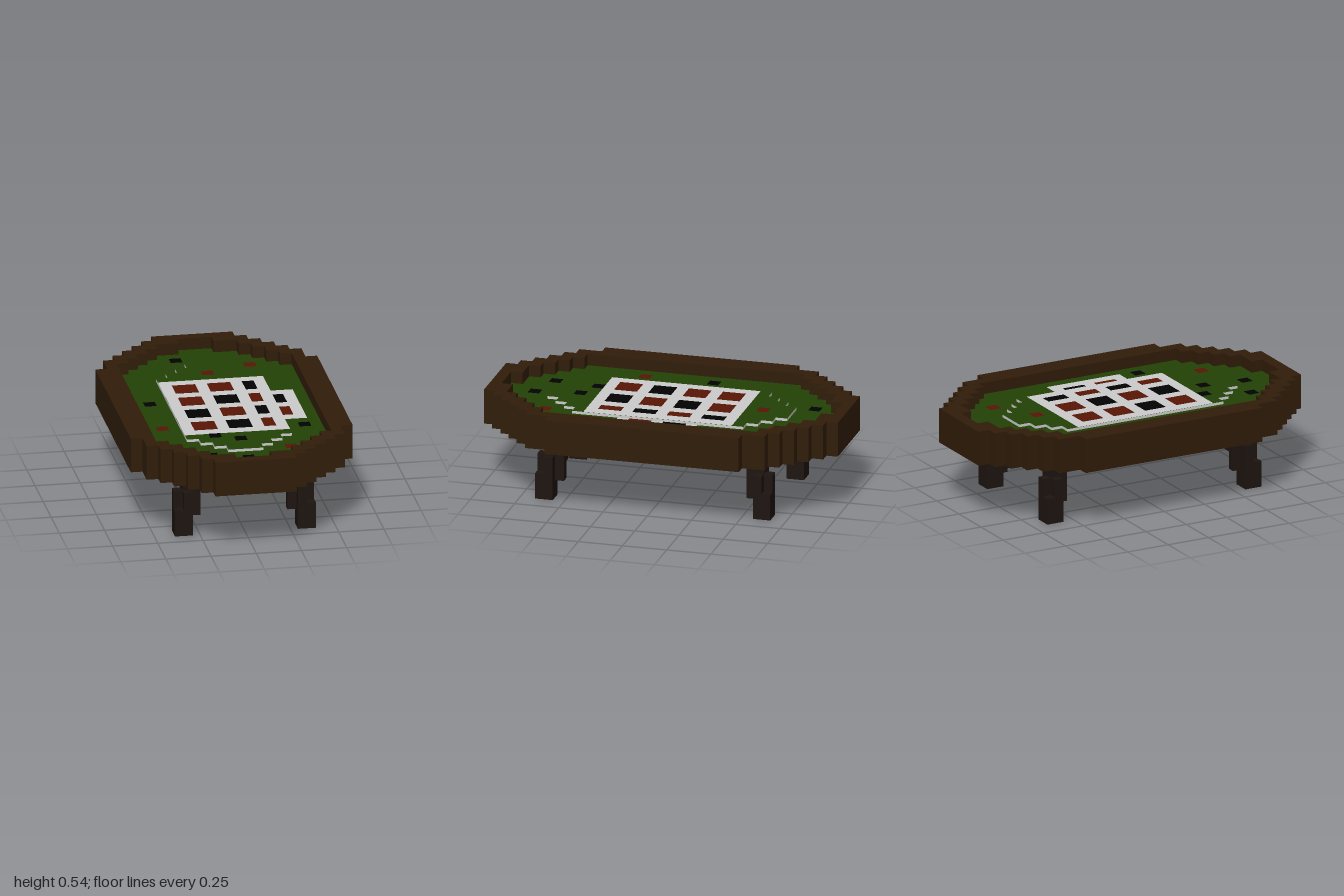
import * as THREE from 'three';

const U = 2 / 31; // block size of the table top
const BOTTOM = 0.345, FELT = 0.475, SLAB = 0.49, TOP = 0.54;
const L = BOTTOM / 7; // block size of the legs

const mat = (color) => new THREE.MeshStandardMaterial({ color, flatShading: true });

// Full stepped outline from one quadrant of [halfX, halfZ] steps, narrowest first
function steppedPoints(steps) {
  const q = [];
  steps.forEach(([x, z], i) => {
    q.push([x, z]);
    if (i < steps.length - 1) q.push([x, steps[i + 1][1]]);
  });
  const r = [...q].reverse();
  return [
    ...q,
    ...r.map(([x, z]) => [x, -z]),
    ...q.map(([x, z]) => [-x, -z]),
    ...r.map(([x, z]) => [-x, z]),
  ].map(([x, z]) => new THREE.Vector2(x * U, z * U));
}

// Extrude a plan outline upwards from y0 to y1
function prism(name, shape, y0, y1, material) {
  const geo = new THREE.ExtrudeGeometry(shape, { depth: y1 - y0, bevelEnabled: false });
  geo.rotateX(-Math.PI / 2).translate(0, y0, 0);
  const mesh = new THREE.Mesh(geo, material);
  mesh.name = name;
  return mesh;
}

export function createModel() {
  const table = new THREE.Group();
  table.name = 'gamingTable';
  const wood = mat(0x301c08), green = mat(0x234206), red = mat(0x581505);
  const black = mat(0x020202), white = mat(0xcccccc), dark = mat(0x1d140f);

  const outer = steppedPoints([[3.5, 15.5], [4.5, 14.5], [5.5, 13.5], [6.5, 12.5], [7.5, 11.5], [8.5, 10.5], [9.5, 8.5]]);
  const inner = steppedPoints([[1.5, 14.5], [3.5, 13.5], [4.5, 12.5], [5.5, 11.5], [6.5, 10.5], [7.5, 9.5]]);
  const raised = steppedPoints([[1.5, 10.5], [2.5, 9.5], [3.5, 8.5], [4.5, 7.5]]);

  // Wooden rim and body with the felt set one block deep; the hole winds against the outline
  const rimShape = new THREE.Shape(outer);
  rimShape.holes.push(new THREE.Path([...inner].reverse()));
  table.add(prism('rim', rimShape, FELT - 0.02, TOP, wood));
  table.add(prism('body', new THREE.Shape(outer), BOTTOM, FELT - 0.02, wood));
  table.add(prism('felt', new THREE.Shape(inner), FELT - 0.02, FELT, green));
  table.add(prism('raisedPanel', new THREE.Shape(raised), FELT, SLAB, [green, white]));

  // Flat markings: edges in blocks, laid on a given height
  function marking(name, x0, x1, z0, z1, y, material) {
    const geo = new THREE.PlaneGeometry((x1 - x0) * U, (z1 - z0) * U).rotateX(-Math.PI / 2);
    const mesh = new THREE.Mesh(geo, material);
    mesh.position.set((x0 + x1) * U / 2, y, (z0 + z1) * U / 2);
    mesh.name = name;
    table.add(mesh);
  }
  marking('board', -4.5, 4.5, -6.5, 6.5, SLAB + 0.001, white);
  marking('sideBoard', 4.5, 6.5, -3.5, 3.5, FELT + 0.001, white);

  // Board squares, row by row from the back
  const columns = [[-3.5, -1.5], [-0.5, 1.5], [2.5, 3.5]];
  ['RRB', 'RBR', 'BRB', 'RBR'].forEach((row, r) => {
    const z = -5.5 + 3 * r;
    columns.forEach(([x0, x1], c) =>
      marking('boardSquare', x0, x1, z, z + 2, SLAB + 0.002, row[c] === 'R' ? red : black));
  });
  marking('sideSquare', 4.5, 5.5, -2.5, -0.5, FELT + 0.002, black);
  marking('sideSquare', 4.5, 5.5, 0.5, 2.5, FELT + 0.002, red);

  // Loose chips: x, z, height, colour
  [
    [-2, -12, FELT, black], [4, -10, FELT, red], [0, -8, SLAB, red], [-6, -2, FELT, black],
    [-6, 4, FELT, red], [6, 5, FELT, black], [-2, 7, SLAB, black], [0, 8, SLAB, black],
    [4, 10, FELT, red], [-3, 11, FELT, black], [0, 12, FELT, black],
  ].forEach(([x, z, y, m]) => marking('chip', x - 0.5, x + 0.5, z - 0.5, z + 0.5, y + 0.002, m));

  // Legs: stepped columns [cellX, cellZ, bottom, top] leaning outwards
  const cells = [
    [0, 0, 4, 7], [0, 1, 2, 7], [1, 0, 2, 7], [1, 1, 0, 7],
    [1, 2, 0, 5], [2, 1, 0, 5], [2, 2, 0, 3],
  ];
  for (const sx of [1, -1]) for (const sz of [1, -1]) {
    const leg = new THREE.Group();
    leg.name = (sz > 0 ? 'front' : 'back') + (sx > 0 ? 'Left' : 'Right') + 'Leg';
    for (const [cx, cz, y0, y1] of cells) {
      const block = new THREE.Mesh(new THREE.BoxGeometry(L, (y1 - y0) * L, L), dark);
      block.position.set(sx * (0.241 + (cx + 0.5) * L), (y0 + y1) * L / 2, sz * (0.516 + (cz + 0.5) * L));
      block.name = 'legBlock';
      leg.add(block);
    }
    table.add(leg);
  }
  return table;
}
